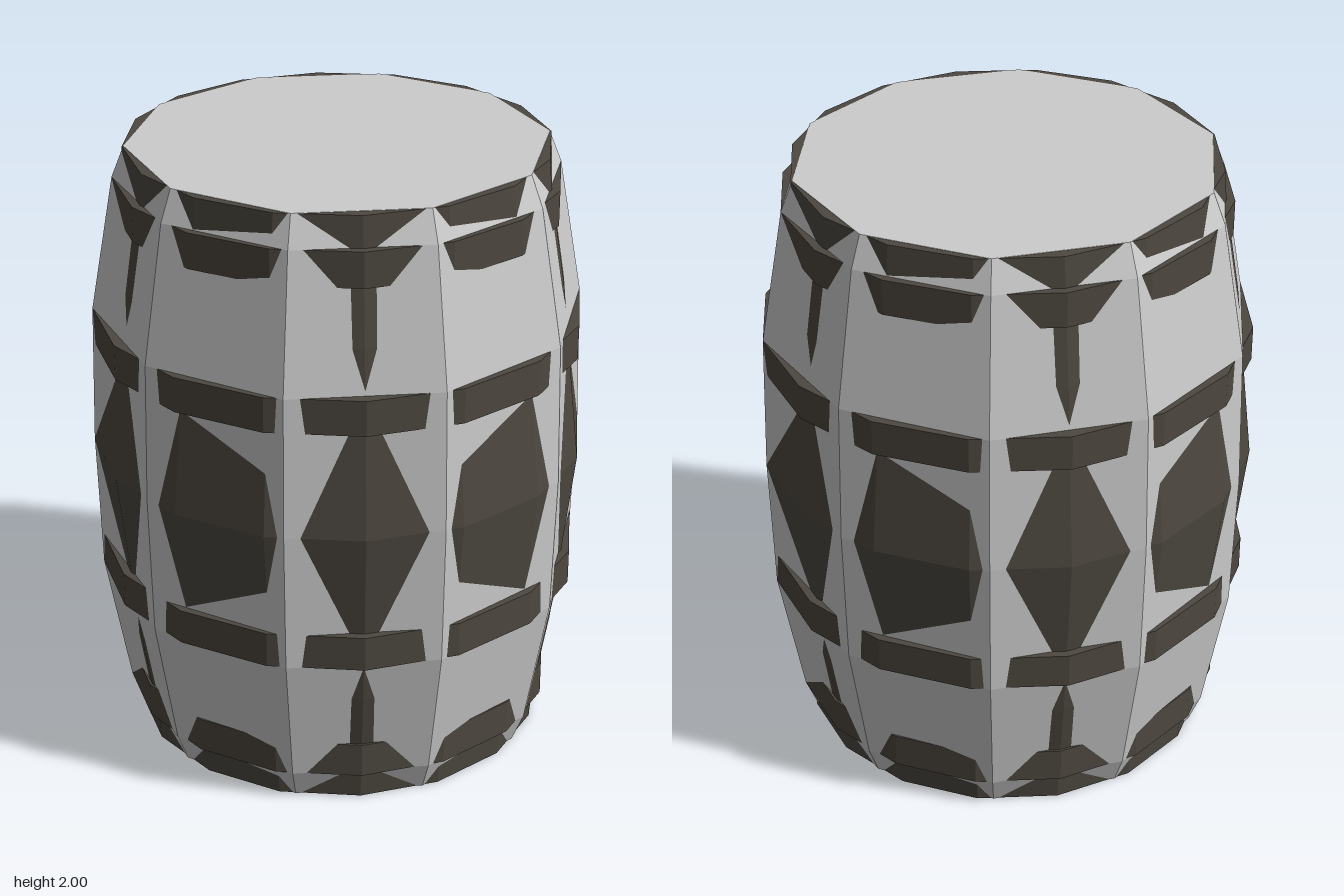
import * as THREE from 'three';

export function createModel() {
  const barrel = new THREE.Group();
  barrel.name = 'barrel';

  const staveMat = new THREE.MeshStandardMaterial({ color: 0xcccccc, flatShading: true });
  staveMat.name = 'pale grey staves';
  const ironMat = new THREE.MeshStandardMaterial({ color: 0x4d4840, flatShading: true });
  ironMat.name = 'dark iron';

  // Profile given as [radius, height above the middle], mirrored top to bottom
  const mirrored = (upper) => {
    const lower = upper.slice(1).reverse().map(([r, h]) => [r, -h]);
    return [...lower, ...upper].map(([r, h]) => new THREE.Vector2(r, 1 + h));
  };

  const addTurned = (name, points, sides, material) => {
    const mesh = new THREE.Mesh(new THREE.LatheGeometry(points, sides, Math.PI / 2), material);
    mesh.name = name;
    barrel.add(mesh);
  };

  // Ten-sided body with flat ends
  addTurned('staves', mirrored([[0.8, 0], [0.788, 0.46], [0.71, 0.9], [0.67, 1], [0, 1]]), 10, staveMat);

  // Sixteen-sided core that shows through the middle of each stave
  addTurned('core', mirrored([[0.8, 0], [0.733, 0.6], [0.683, 0.9], [0.675, 0.999], [0, 0.999]]), 16, ironMat);

  // Straight hoops, closed above and below
  const addHoop = (name, radius, bottom, top) => addTurned(name, [
    [radius - 0.07, bottom], [radius, bottom], [radius, top], [radius - 0.07, top],
  ].map(([r, y]) => new THREE.Vector2(r, y)), 16, ironMat);

  addHoop('upperEndHoop', 0.71, 1.785, 1.9);
  addHoop('upperMiddleHoop', 0.788, 1.345, 1.46);
  addHoop('lowerMiddleHoop', 0.788, 0.54, 0.655);
  addHoop('lowerEndHoop', 0.71, 0.1, 0.215);

  return barrel;
}
